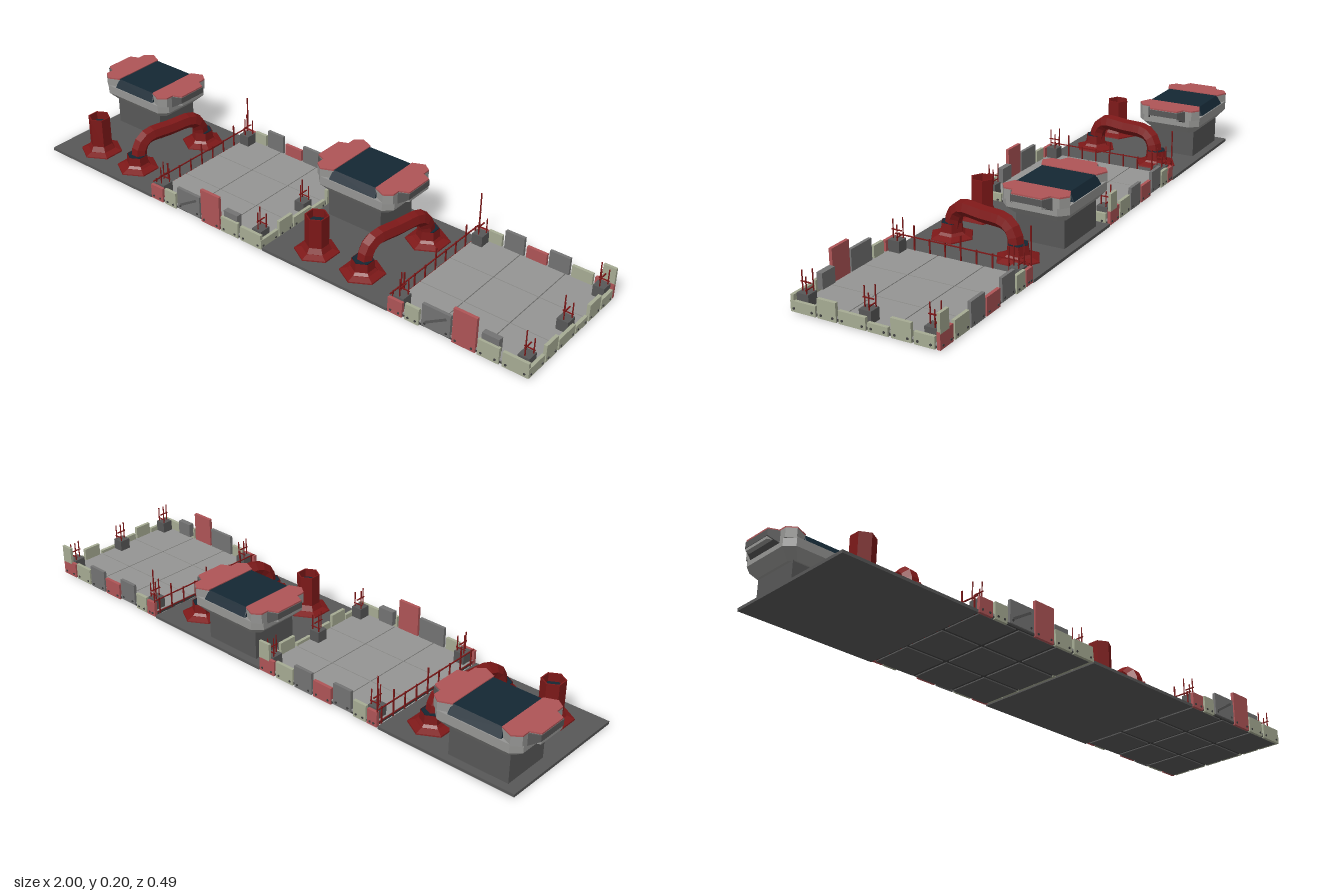
import * as THREE from 'three';
import { ConvexGeometry } from 'three/addons/geometries/ConvexGeometry.js';

const mat = (color, side = THREE.FrontSide) =>
  new THREE.MeshStandardMaterial({ color, side, flatShading: true });
const M = {
  deepRed: mat(0x7d1818), red: mat(0xae5456), beige: mat(0xa6ab93), navy: mat(0x142733),
  dark: mat(0x575757), grey: mat(0x737373), light: mat(0x959593), shadow: mat(0x3f3f3f),
  openRed: mat(0x7d1818, THREE.DoubleSide),
};

function add(parent, name, geometry, material, x = 0, y = 0, z = 0) {
  const mesh = new THREE.Mesh(geometry, material);
  mesh.name = name;
  mesh.position.set(x, y, z);
  parent.add(mesh);
  return mesh;
}

// Box given by its minimum and maximum on each axis
function block(parent, name, material, x0, x1, y0, y1, z0, z1) {
  return add(parent, name, new THREE.BoxGeometry(x1 - x0, y1 - y0, z1 - z0), material,
    (x0 + x1) / 2, (y0 + y1) / 2, (z0 + z1) / 2);
}

// Corners of a chamfered rectangle at height y
function ring(y, hx, hz, c) {
  const pts = [];
  for (const sx of [-1, 1]) for (const sz of [-1, 1]) {
    pts.push(new THREE.Vector3(sx * hx, y, sz * (hz - c)), new THREE.Vector3(sx * (hx - c), y, sz * hz));
  }
  return pts;
}
const hull = (...rings) => new ConvexGeometry(rings.flat());

// Six-sided turned profile, corners pointing along z
const hexLathe = (pairs) => new THREE.LatheGeometry(pairs.map(([r, y]) => new THREE.Vector2(r, y)), 6);

// Broad raised cabin on a square stem
function createTower() {
  const g = new THREE.Group();
  g.name = 'tower';
  block(g, 'towerStem', M.dark, -0.111, 0.099, 0.01, 0.115, -0.085, 0.085);
  add(g, 'towerBody', hull(ring(0.105, 0.12, 0.09, 0.02), ring(0.135, 0.152, 0.116, 0.028),
    ring(0.165, 0.152, 0.116, 0.028)), M.light);
  add(g, 'roofWindow', hull(ring(0.164, 0.092, 0.113, 0.002), ring(0.194, 0.088, 0.095, 0.002)), M.navy);
  for (const s of [-1, 1]) {
    // Shoulder outline as seen from above
    const outline = [[0.084, -0.098], [0.125, -0.116], [0.152, -0.096], [0.152, -0.066], [0.183, -0.052],
      [0.183, 0.052], [0.152, 0.066], [0.152, 0.096], [0.125, 0.116], [0.084, 0.098]];
    const shape = new THREE.Shape(outline.map(([x, z]) => new THREE.Vector2(s * x, z)));
    for (const [name, y, h, m] of [['shoulder', 0.16, 0.032, M.light], ['shoulderCap', 0.192, 0.005, M.red]]) {
      const geo = new THREE.ExtrudeGeometry(shape, { depth: h, bevelEnabled: false });
      add(g, name, geo.rotateX(-Math.PI / 2), m, 0, y, 0);
    }
    // Tapered pod under the shoulder
    const pod = [];
    for (const [x, y, z] of [[0.15, 0.15, 0.073], [0.184, 0.17, 0.055]]) for (const k of [-1, 1]) {
      pod.push(new THREE.Vector3(s * x, y, k * z), new THREE.Vector3(s * x, 0.191, k * z));
    }
    add(g, 'sidePod', new ConvexGeometry(pod), M.dark);
  }
  return g;
}

function addFoot(parent, x, z) {
  add(parent, 'hexFoot', hexLathe([[0, 0.022], [0.05, 0.022], [0.073, 0.014], [0.075, 0.006], [0, 0.006]].reverse()),
    M.deepRed, x, 0, z);
}

// Flat base with tower, open stack and arched pipe
function createMachineTile() {
  const g = new THREE.Group();
  g.name = 'machineTile';
  block(g, 'basePlate', M.dark, -0.246, 0.246, 0, 0.01, -0.245, 0.243);
  const tower = createTower();
  tower.position.set(-0.094, 0, -0.131);
  g.add(tower);

  addFoot(g, -0.103, 0.142);
  add(g, 'stack', hexLathe([[0.05, 0.02], [0.039, 0.04], [0.039, 0.145], [0.034, 0.145], [0.034, 0.1]]),
    M.openRed, -0.103, 0, 0.142);
  add(g, 'stackOpening', new THREE.CylinderGeometry(0.035, 0.035, 0.004, 6), M.navy, -0.103, 0.115, 0.142);

  const ends = [[0.079, 0.142], [0.134, -0.128]];
  for (const [x, z] of ends) {
    addFoot(g, x, z);
    add(g, 'pipeSocket', hexLathe([[0.05, 0.02], [0.039, 0.03], [0.036, 0.06]]), M.openRed, x, 0, z);
    add(g, 'socketCap', new THREE.CylinderGeometry(0.034, 0.034, 0.004, 6), M.navy, x, 0.058, z);
  }
  // Pipe runs straight between the sockets, with sloped shoulders
  const path = [[0.02, 0.03], [0.045, 0.08], [0.1, 0.104], [0.19, 0.117], [0.5, 0.117], [0.81, 0.117],
    [0.9, 0.104], [0.955, 0.08], [0.98, 0.03]].map(([t, y]) => new THREE.Vector3(
    THREE.MathUtils.lerp(ends[0][0], ends[1][0], t), y, THREE.MathUtils.lerp(ends[0][1], ends[1][1], t)));
  add(g, 'archedPipe', new THREE.TubeGeometry(new THREE.CatmullRomCurve3(path), 16, 0.027, 6), M.openRed);
  return g;
}

// Row of wall panels along x, outer face towards +z: [x0, x1, y0, y1, material]
function createWall(name, panels) {
  const g = new THREE.Group();
  g.name = name;
  for (const [x0, x1, y0, y1, m] of panels) {
    block(g, 'wallPanel', m, x0, x1, y0, y1, 0.234, 0.245);
    for (const x of [x0 + 0.012, x1 - 0.012]) {
      const bolt = add(g, 'bolt', new THREE.CylinderGeometry(0.004, 0.004, 0.003, 6), M.shadow, x, y0 + 0.011, 0.2455);
      bolt.rotation.x = Math.PI / 2;
    }
  }
  return g;
}

// Panelled deck with walls, railing and masts
function createDeckTile() {
  const g = new THREE.Group();
  g.name = 'deckTile';
  block(g, 'deckBase', M.shadow, -0.24, 0.24, 0.006, 0.014, -0.24, 0.24);
  for (let i = -1; i <= 1; i++) for (let j = -1; j <= 1; j++) {
    const x = i * 0.161, z = j * 0.161;
    block(g, 'deckPanel', M.light, x - 0.079, x + 0.079, 0.013, 0.02, z - 0.079, z + 0.079);
    block(g, 'underPanel', M.dark, x - 0.074, x + 0.074, 0.002, 0.007, z - 0.074, z + 0.074);
  }

  const front = createWall('frontWall', [
    [-0.243, -0.19, 0.003, 0.055, M.red], [-0.18, -0.13, 0.003, 0.06, M.beige],
    [-0.12, -0.02, 0.012, 0.09, M.grey], [-0.013, 0.067, 0.003, 0.125, M.red],
    [0.074, 0.146, 0.003, 0.058, M.beige], [0.157, 0.243, 0.003, 0.054, M.beige]]);
  // Diagonal brace and small cabinet on the front wall
  const brace = block(front, 'brace', M.dark, -0.112, -0.028, 0.047, 0.055, 0.244, 0.247);
  brace.rotation.z = 0.55;
  block(front, 'cabinet', M.grey, 0.08, 0.138, 0.03, 0.08, 0.216, 0.236);

  const back = createWall('backWall', [
    [-0.243, -0.18, 0.003, 0.055, M.red], [-0.172, -0.1, 0.003, 0.06, M.beige],
    [-0.092, -0.02, 0.003, 0.08, M.grey], [-0.012, 0.06, 0.003, 0.06, M.red],
    [0.07, 0.14, 0.01, 0.085, M.grey], [0.15, 0.2, 0.003, 0.06, M.beige], [0.205, 0.243, 0.003, 0.055, M.red]]);
  back.rotation.y = Math.PI;
  block(g, 'cornerPlate', M.beige, 0.2, 0.243, 0.05, 0.11, -0.246, -0.236);

  const right = createWall('rightWall', [
    [-0.245, -0.16, 0.003, 0.036, M.beige], [-0.153, -0.09, 0.003, 0.062, M.beige],
    [-0.082, 0.008, 0.003, 0.042, M.beige], [0.014, 0.08, 0.003, 0.03, M.beige],
    [0.09, 0.155, 0.003, 0.062, M.beige], [0.163, 0.228, 0.003, 0.04, M.beige]]);
  right.rotation.y = Math.PI / 2;
  g.add(front, back, right);

  // Railing along the left-hand edge
  for (let i = 0; i <= 8; i++) {
    const z = -0.22 + i * 0.055;
    block(g, 'railPost', M.deepRed, -0.243, -0.239, 0.004, i % 3 === 1 ? 0.1 : 0.066, z - 0.002, z + 0.002);
  }
  for (const y of [0.015, 0.06]) block(g, 'rail', M.deepRed, -0.243, -0.239, y, y + 0.003, -0.235, 0.235);

  // Equipment boxes with thin masts and a crossbar
  for (const [x, z] of [[-0.215, -0.21], [0.215, -0.21], [0.215, 0], [-0.215, 0.21], [0.215, 0.21]]) {
    block(g, 'mastBox', M.dark, x - 0.019, x + 0.019, 0.015, 0.058, z - 0.02, z + 0.02);
    for (const [dx, dz, h] of [[-0.014, -0.013, 0.124], [0.014, -0.011, 0.11], [0, 0.013, 0.12]]) {
      add(g, 'mast', new THREE.CylinderGeometry(0.0022, 0.0022, h - 0.02, 5), M.deepRed, x + dx, h / 2 + 0.01, z + dz);
    }
    block(g, 'crossbar', M.deepRed, x - 0.002, x + 0.002, 0.085, 0.088, z - 0.018, z + 0.018);
    block(g, 'crossbar', M.deepRed, x - 0.018, x + 0.018, 0.068, 0.071, z - 0.013, z - 0.01);
  }
  add(g, 'tallMast', new THREE.CylinderGeometry(0.0025, 0.0025, 0.178, 5), M.deepRed, -0.24, 0.091, -0.24);
  return g;
}

export function createModel() {
  const model = new THREE.Group();
  model.name = 'industrialTiles';
  for (const x of [-0.724, 0.2615]) {
    const machine = createMachineTile();
    machine.position.x = x;
    const deck = createDeckTile();
    deck.position.x = x + 0.4925;
    model.add(machine, deck);
  }
  return model;
}
